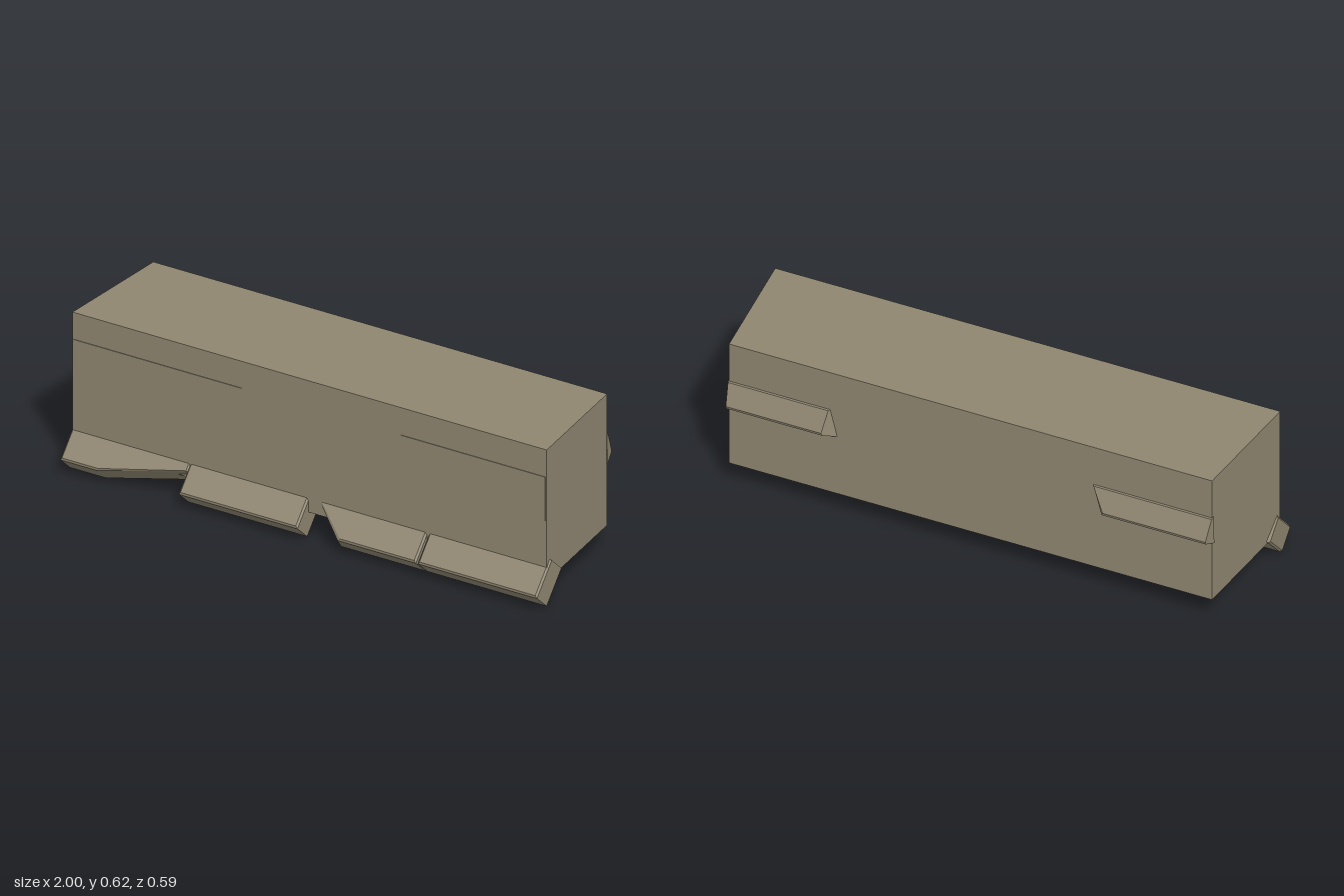
import * as THREE from 'three';
import { ConvexGeometry } from 'three/addons/geometries/ConvexGeometry.js';

const stone = new THREE.MeshStandardMaterial({ color: 0x8f8671 });
stone.name = 'weathered stone';

const V = (x, y, z) => new THREE.Vector3(x, y, z);

function addMesh(group, name, geometry) {
  const mesh = new THREE.Mesh(geometry, stone);
  mesh.name = name;
  group.add(mesh);
  return mesh;
}

// Tilted slab under the front edge. Outline points are [x, distance down the
// slope, lean of x on the underside]; the outer edges get a small chamfer.
function slabGeometry(outline) {
  const down = V(0, -0.737, 0.676);
  const inward = V(0, -0.676, -0.737);
  const thickness = 0.103, c = 0.007;
  const cx = outline.reduce((sum, p) => sum + p[0], 0) / outline.length;
  const points = [];
  for (const [depth, inset] of [[0, c], [c, 0], [thickness - c, 0], [thickness, c]]) {
    for (const [x, w, lean = 0] of outline) {
      const px = x + lean * depth / thickness - inset * Math.sign(x - cx);
      points.push(V(px, 0.157, 0.22)
        .addScaledVector(down, w > 0.05 ? w - inset : w)
        .addScaledVector(inward, depth));
    }
  }
  return new ConvexGeometry(points);
}

// Wedge on the back wall with a slanted inner end and a blunted ridge
function wedgeGeometry(side, innerTop, innerBottom, innerRidge) {
  const points = [];
  const edge = (inner, outer, y, z) => points.push(V(side * inner, y, z), V(side * outer, y, z));
  edge(innerTop, 0.955, 0.467, -0.25);
  edge(innerTop + 0.008, 0.953, 0.463, -0.263);
  edge(innerRidge, 0.945, 0.382, -0.298);
  edge(innerRidge - 0.005, 0.945, 0.371, -0.295);
  edge(innerBottom, 0.958, 0.351, -0.25);
  return new ConvexGeometry(points);
}

export function createModel() {
  const model = new THREE.Group();
  model.name = 'stoneBlock';

  // Main block, narrower towards the back
  const block = new THREE.BoxGeometry(1.99, 0.53, 0.477);
  const pos = block.attributes.position;
  for (let i = 0; i < pos.count; i++) {
    if (pos.getZ(i) < 0) pos.setX(i, Math.sign(pos.getX(i)) * 0.952);
  }
  block.computeVertexNormals();
  addMesh(model, 'mainBlock', block).position.set(0, 0.365, -0.0175);

  // Slabs along the lower front edge, two of them broken
  const root = -0.03, tip = 0.118;
  const slabs = [
    [[-1, root], [-1, tip], [-0.85, tip], [-0.5, 0.03], [-0.5, root]],
    [[-0.503, root], [-0.503, tip], [-0.005, tip], [-0.005, root]],
    [[0.01, root, -0.03], [0.165, tip, -0.03], [0.492, tip], [0.492, root]],
    [[0.5, root], [0.5, tip], [1, tip], [1, root]],
  ];
  slabs.forEach((outline, i) => addMesh(model, `edgeSlab${i + 1}`, slabGeometry(outline)));

  // Thin panels on the front face
  for (const [name, x0, x1, y0, y1] of [
    ['rightFrontPanel', -0.99, -0.285, 0.34, 0.522],
    ['leftFrontPanel', 0.385, 0.99, 0.343, 0.52],
  ]) {
    const panel = addMesh(model, name, new THREE.BoxGeometry(x1 - x0, y1 - y0, 0.006));
    panel.position.set((x0 + x1) / 2, (y0 + y1) / 2, 0.2205);
  }

  // Wedges on the back
  addMesh(model, 'leftBackWedge', wedgeGeometry(1, 0.55, 0.52, 0.57));
  addMesh(model, 'rightBackWedge', wedgeGeometry(-1, 0.48, 0.52, 0.54));

  return model;
}
